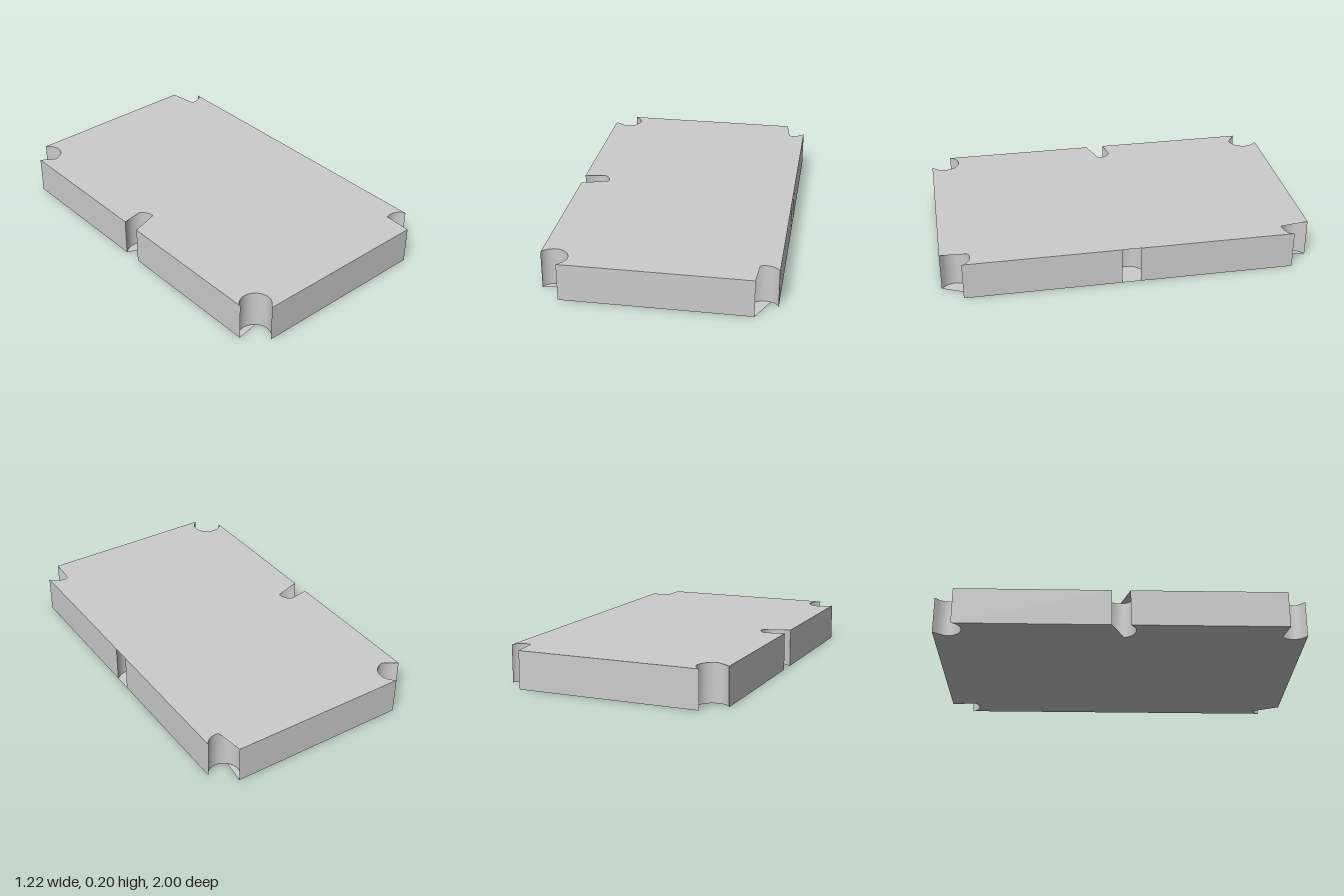
import * as THREE from 'three';
import { toCreasedNormals } from 'three/addons/utils/BufferGeometryUtils.js';

const HEIGHT = 0.205;
const RADIUS = 0.082;
const STEPS = 20;
const FULL = [0, 1];

// Round bites in the outline, listed around the slab. top / bottom give the
// part of each arc the cap follows; it cuts straight across the rest.
const CORNER = { cx: 0.54, cz: 0.925, from: 118, to: 333, start: [0.5, 1], end: [0.61, 0.89] };
const SIDE = { cx: 0.54, cz: 0, from: 35.5, to: 324.5, start: [0.61, 0.05], end: [0.61, -0.05] };
const NOTCHES = [
  { form: CORNER, sx: 1, sz: 1, reverse: true, top: [0.6, 1], bottom: [0.78, 1] },
  { form: CORNER, sx: -1, sz: 1, reverse: false, top: [0.12, 1], bottom: [0, 0.5] },
  { form: SIDE, sx: -1, sz: -1, reverse: true, top: [0.29, 0.54], bottom: [0.54, 1] },
  { form: CORNER, sx: -1, sz: -1, reverse: true, top: [0, 0.7], bottom: [0.25, 1] },
  { form: CORNER, sx: 1, sz: -1, reverse: false, top: [0.65, 1], bottom: [0.5, 1] },
  { form: SIDE, sx: 1, sz: -1, reverse: false, top: [2, 2], bottom: [2, 2] },
];

// Points of one bite, from edge to edge
function notchPoints({ form, sx, sz, reverse }, [t0, t1]) {
  const points = [form.start];
  for (let i = 1; i < STEPS; i++) {
    const t = i / STEPS;
    if (t < t0 || t > t1) continue;
    const a = THREE.MathUtils.degToRad(form.from + t * (form.to - form.from));
    points.push([form.cx + RADIUS * Math.cos(a), form.cz + RADIUS * Math.sin(a)]);
  }
  points.push(form.end);
  const placed = points.map(([x, z]) => new THREE.Vector2(x * sx, z * sz));
  return reverse ? placed.reverse() : placed;
}

const outline = (pick) => NOTCHES.flatMap((n) => notchPoints(n, pick(n)));

// Upright band around the whole outline
function wallGeometry() {
  const points = outline(() => FULL);
  const positions = [];
  points.forEach((a, i) => {
    const b = points[(i + 1) % points.length];
    const a0 = [a.x, 0, a.y], a1 = [a.x, HEIGHT, a.y];
    const b0 = [b.x, 0, b.y], b1 = [b.x, HEIGHT, b.y];
    positions.push(...a0, ...a1, ...b0, ...b0, ...a1, ...b1);
  });
  const geometry = new THREE.BufferGeometry();
  geometry.setAttribute('position', new THREE.Float32BufferAttribute(positions, 3));
  return toCreasedNormals(geometry, 0.6);
}

// Flat cap, facing up (dir 1) or down (dir -1)
function capGeometry(pick, dir) {
  const points = outline(pick).map((p) => new THREE.Vector2(p.x, -dir * p.y));
  return new THREE.ShapeGeometry(new THREE.Shape(points)).rotateX(-dir * Math.PI / 2);
}

export function createModel() {
  const group = new THREE.Group();
  group.name = 'notchedSlab';
  const material = new THREE.MeshStandardMaterial({ color: 0xcccccc, side: THREE.DoubleSide });
  const add = (name, geometry, y = 0) => {
    const mesh = new THREE.Mesh(geometry, material);
    mesh.name = name;
    mesh.position.y = y;
    group.add(mesh);
  };
  add('sideWalls', wallGeometry());
  add('topFace', capGeometry((n) => n.top, 1), HEIGHT);
  add('bottomFace', capGeometry((n) => n.bottom, -1));
  return group;
}
